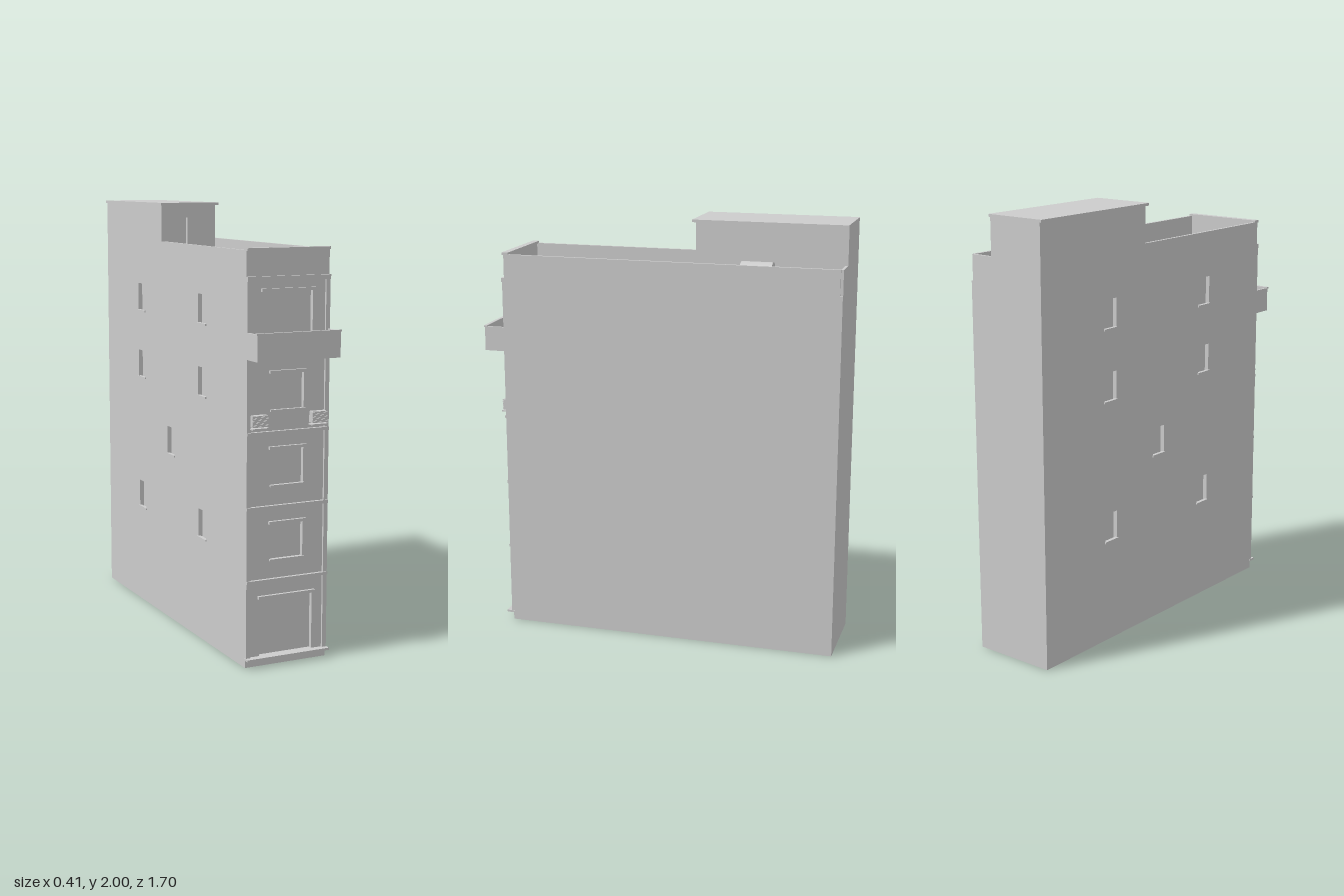
import * as THREE from 'three';

const material = new THREE.MeshStandardMaterial({ color: 0xcccccc, side: THREE.DoubleSide });

function add(parent, name, geometry, x = 0, y = 0, z = 0) {
  const mesh = new THREE.Mesh(geometry, material);
  mesh.name = name;
  mesh.position.set(x, y, z);
  parent.add(mesh);
  return mesh;
}

// Box given by its limits on each axis
function block(parent, name, [x0, x1], [y0, y1], [z0, z1]) {
  const geometry = new THREE.BoxGeometry(x1 - x0, y1 - y0, z1 - z0);
  return add(parent, name, geometry, (x0 + x1) / 2, (y0 + y1) / 2, (z0 + z1) / 2);
}

// Box without its +z face, standing behind z = 0
function pocket(w, h, d) {
  const geometry = new THREE.BoxGeometry(w, h, d);
  const index = Array.from(geometry.index.array).filter((_, i) => i < 24 || i >= 30);
  geometry.setIndex(index);
  geometry.clearGroups();
  return geometry.translate(0, 0, -d / 2);
}

function rectangle(path, x0, x1, y0, y1) {
  path.moveTo(x0, y0);
  path.lineTo(x1, y0);
  path.lineTo(x1, y1);
  path.lineTo(x0, y1);
  path.closePath();
  return path;
}

// Flat wall facing +z with recessed openings [x0, x1, y0, y1]
function wall(parent, name, limits, openings, depth) {
  const group = new THREE.Group();
  group.name = name;
  const shape = rectangle(new THREE.Shape(), ...limits);
  for (const o of openings) {
    const [x0, x1, y0, y1] = o;
    shape.holes.push(rectangle(new THREE.Path(), ...o));
    add(group, 'recess', pocket(x1 - x0, y1 - y0, depth), (x0 + x1) / 2, (y0 + y1) / 2);
  }
  add(group, 'wallFace', new THREE.ShapeGeometry(shape));
  parent.add(group);
  return group;
}

export function createModel() {
  const model = new THREE.Group();
  model.name = 'townhouse';
  const W = 0.2, BACK = -0.85, FRONT = 0.742, DECK = 1.705, TOP = 1.82;

  // Hollow shell, open underneath
  const right = wall(model, 'plainSideWall', [-FRONT, -BACK, 0, DECK], [], 0);
  right.rotation.y = Math.PI / 2;
  right.position.x = W;
  const back = wall(model, 'backWall', [-W, W, 0, DECK], [], 0);
  back.rotation.y = Math.PI;
  back.position.z = BACK;
  const deck = wall(model, 'roofDeck', [-W, W, -FRONT, -BACK], [], 0);
  deck.rotation.x = -Math.PI / 2;
  deck.position.y = DECK;

  // Side wall with small recessed windows and sills
  const windows = [];
  for (const y of [0.49, 1.15, 1.48]) for (const z of [-0.4, 0.3]) windows.push([z, y]);
  windows.push([-0.05, 0.82]);
  const left = wall(model, 'windowSideWall', [BACK, FRONT, 0, DECK],
    windows.map(([z, y]) => [z - 0.042, z + 0.042, y - 0.01, y + 0.125]), 0.02);
  left.rotation.y = -Math.PI / 2;
  left.position.x = -W;
  for (const [z, y] of windows) {
    block(model, 'sideSill', [-W - 0.006, -W + 0.01], [y - 0.013, y - 0.005], [z - 0.046, z + 0.046]);
  }

  // Front wall: half width, bottom and top of each opening
  const openings = [
    [0.13, 0.045, 0.305], [0.08, 0.475, 0.635], [0.08, 0.805, 0.965],
    [0.08, 1.135, 1.295], [0.12, 1.375, 1.645],
  ];
  const front = wall(model, 'frontWall', [-W, W, 0, DECK],
    openings.map(([w, y0, y1]) => [-w, w, y0, y1]), 0.02);
  front.position.z = FRONT;
  openings.forEach(([w, y0, y1], i) => {
    block(model, 'lintel', [-w - 0.01, w + 0.01], [y1, y1 + 0.013], [FRONT - 0.005, 0.756]);
    if (i > 0 && i < 4) block(model, 'frontSill', [-w - 0.005, w + 0.005], [y0 - 0.005, y0 + 0.003], [FRONT - 0.005, 0.752]);
  });

  // Raised frame: corner strips and floor bands
  for (const s of [-1, 1]) {
    block(model, 'cornerStrip', s < 0 ? [-W, -0.18] : [0.18, W], [0.045, 1.69], [FRONT - 0.005, 0.752]);
  }
  for (const [y0, y1] of [[0.38, 0.392], [0.705, 0.719], [1.032, 1.046], [1.69, 1.71]]) {
    block(model, 'floorBand', [-W, W], [y0, y1], [FRONT - 0.005, 0.757]);
  }
  block(model, 'entranceStep', [-W - 0.003, W + 0.003], [0.035, 0.045], [FRONT - 0.005, 0.775]);

  // Balcony with a solid railing
  block(model, 'balconyFloor', [-W, W], [1.36, 1.375], [FRONT, 0.845]);
  block(model, 'balconyFrontRail', [-W, W], [1.36, 1.475], [0.836, 0.846]);
  block(model, 'balconyRailCap', [-W - 0.003, W + 0.003], [1.472, 1.48], [0.834, 0.85]);
  for (const x of [-W, W - 0.01]) {
    block(model, 'balconySideRail', [x, x + 0.01], [1.36, 1.475], [FRONT, 0.846]);
  }

  // Air conditioners with slatted fronts on small trays
  for (const x of [-0.145, 0.145]) {
    block(model, 'airConditioner', [x - 0.037, x + 0.037], [1.07, 1.12], [FRONT, 0.771]);
    block(model, 'airConditionerTray', [x - 0.04, x + 0.04], [1.06, 1.066], [FRONT, 0.778]);
    for (let i = 0; i < 8; i++) {
      const y = 1.073 + i * 0.006;
      block(model, 'slat', [x - 0.037, x + 0.037], [y, y + 0.003], [0.77, 0.775]);
    }
  }

  // Parapets
  block(model, 'frontParapet', [-W, W], [1.7, TOP], [0.724, FRONT]);
  block(model, 'frontParapetCap', [-W, W], [TOP - 0.003, 1.829], [0.72, 0.75]);
  block(model, 'plainSideParapet', [0.186, W], [1.7, TOP], [-0.838, 0.724]);
  block(model, 'windowSideParapet', [-W, -0.186], [1.7, TOP], [-0.16, 0.724]);
  block(model, 'backParapet', [0.08, 0.192], [1.7, TOP], [BACK, -0.838]);

  // Stair house on the roof
  const house = wall(model, 'stairHouseFront', [-W, 0.08, DECK, 1.988], [[-0.155, -0.065, 1.71, 1.93]], 0.015);
  house.position.z = -0.152;
  add(model, 'stairHouseWalls', pocket(0.28, 0.288, 0.698), -0.06, 1.844, -0.152);
  block(model, 'stairHouseRoof', [-0.208, 0.09], [1.988, 2], [BACK, -0.136]);

  // Water tank lying on two supports
  const tank = new THREE.CylinderGeometry(0.046, 0.046, 0.145, 32).rotateX(Math.PI / 2);
  add(model, 'waterTank', tank, 0.138, 1.784, -0.452);
  for (const z of [-0.5, -0.41]) {
    block(model, 'tankSupport', [0.11, 0.166], [DECK, 1.755], [z, z + 0.012]);
  }

  return model;
}
